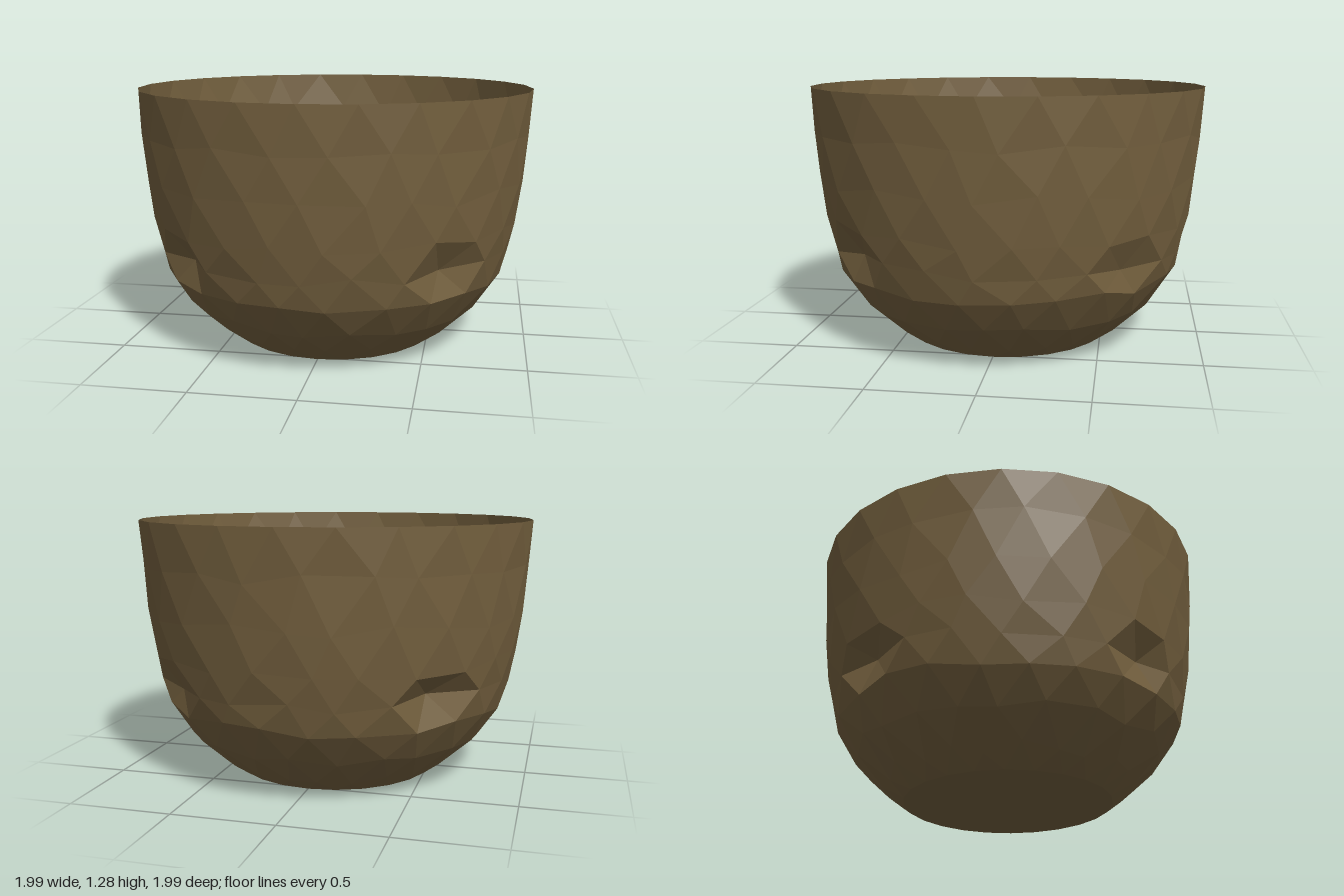
import * as THREE from 'three';

const SIDES = 24;

// Wall profile as [radius, height]
const PROFILE = [
  [0.52, 0], [0.62, 0.07], [0.77, 0.21], [0.875, 0.37], [0.905, 0.5],
  [0.935, 0.64], [0.962, 0.84], [0.98, 1.06], [0.995, 1.28],
];

function radiusAt(y) {
  for (let i = 1; i < PROFILE.length; i++) {
    const [r0, y0] = PROFILE[i - 1], [r1, y1] = PROFILE[i];
    if (y <= y1) return r0 + (r1 - r0) * (y - y0) / (y1 - y0);
  }
  return PROFILE[PROFILE.length - 1][0];
}

function seededRandom(seed) {
  return () => {
    seed = (seed * 16807) % 2147483647;
    return seed / 2147483647;
  };
}

// Hammered wall: staggered rings whose points slide along the profile
function wallGeometry() {
  const random = seededRandom(37);
  const step = Math.PI * 2 / SIDES;
  const rows = PROFILE.length;
  const points = [], faces = [];

  for (let i = 0; i < rows; i++) {
    const edge = i === 0 || i === rows - 1;
    for (let j = 0; j < SIDES; j++) {
      const slide = edge ? 0 : (random() - 0.5) * 0.3;
      const rise = edge ? 0 : (random() - 0.5) * 0.05;
      const angle = (j + (i % 2) * 0.5 + slide) * step;
      const y = PROFILE[i][1] + rise;
      let r = radiusAt(y);
      // Small chiselled dents on the four diagonals
      const offDiagonal = Math.abs(Math.cos(2 * angle));
      if (i === 4 && offDiagonal < 0.4) r -= 0.06 * (0.5 + random());
      points.push(Math.sin(angle) * r, y, Math.cos(angle) * r);
    }
  }

  for (let i = 0; i < rows - 1; i++) {
    for (let j = 0; j < SIDES; j++) {
      const k = (j + 1) % SIDES;
      const a = i * SIDES + j, b = i * SIDES + k;
      const c = a + SIDES, d = b + SIDES;
      if (i % 2) faces.push(a, b, d, a, d, c);
      else faces.push(a, b, c, b, d, c);
    }
  }

  const geometry = new THREE.BufferGeometry();
  geometry.setAttribute('position', new THREE.Float32BufferAttribute(points, 3));
  geometry.setIndex(faces);
  geometry.computeVertexNormals();
  return geometry;
}

export function createModel() {
  const model = new THREE.Group();
  model.name = 'bowl';
  const material = new THREE.MeshStandardMaterial({
    color: 0x75613f, flatShading: true, side: THREE.DoubleSide,
  });

  const wall = new THREE.Mesh(wallGeometry(), material);
  wall.name = 'wall';
  model.add(wall);

  // Flat floor, its corners meeting the lowest ring of the wall
  const floorGeometry = new THREE.CircleGeometry(PROFILE[0][0], SIDES);
  floorGeometry.rotateX(Math.PI / 2);
  const floor = new THREE.Mesh(floorGeometry, material);
  floor.name = 'floor';
  model.add(floor);

  return model;
}
